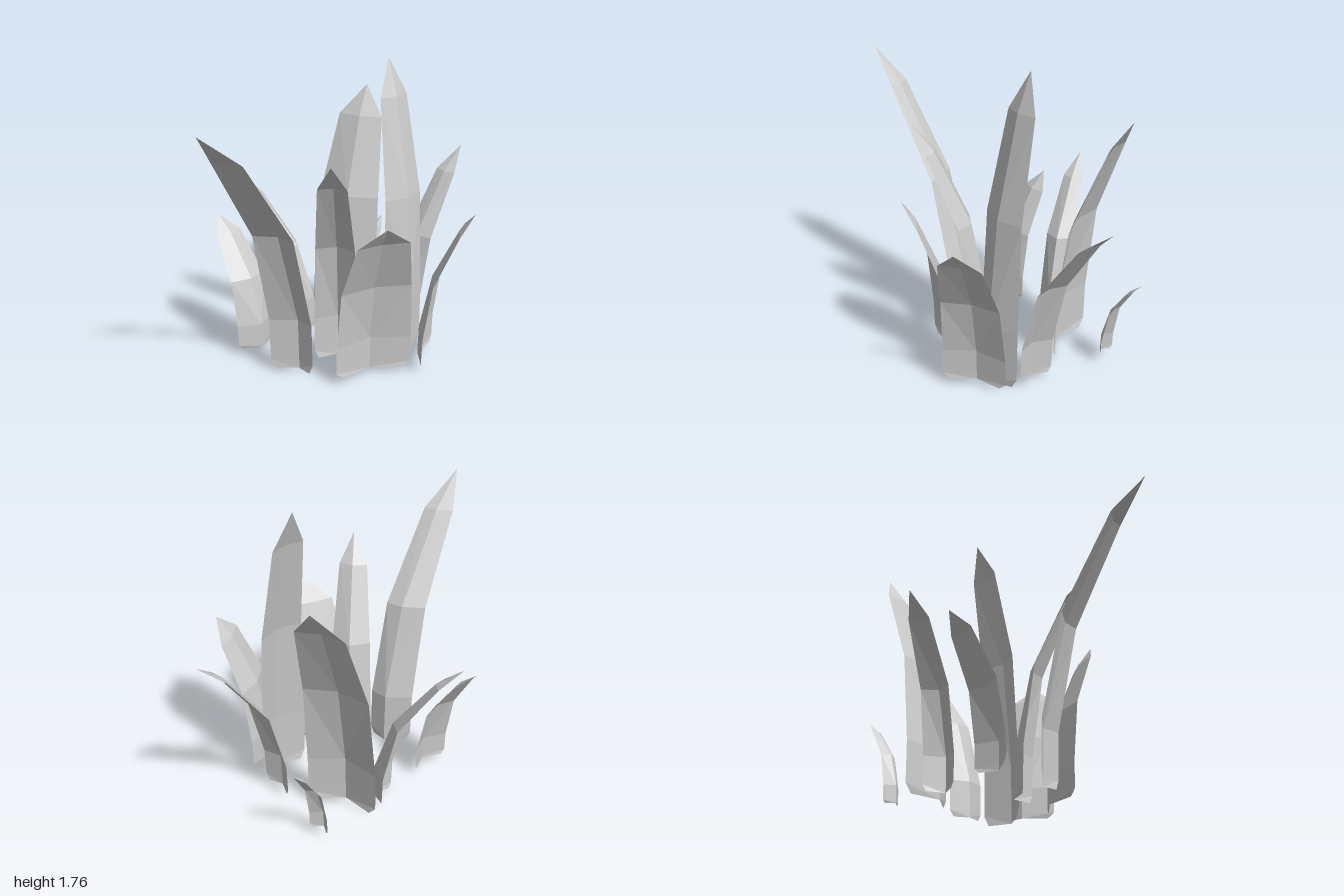
import * as THREE from 'three';

// Cross-sections up a blade: height fraction, lean fraction, width, fold depth
const SECTIONS = [
  [0.0, 0.0, 0.8, 0.9],
  [0.035, 0.0, 1.0, 1.0],
  [0.2, 0.01, 1.0, 1.0],
  [0.56, 0.23, 0.92, 0.6],
  [0.88, 0.7, 0.67, 0.35],
];

// Each blade: base left edge, ridge and right edge as [x, z], base height, tip [x, y, z]
const BLADES = [
  ['leftLongBlade', [-0.37, -0.13], [-0.27, 0.0], [-0.28, 0.11], 0.02, [-1.0, 1.6, 0.03]],
  ['leftInnerBlade', [-0.13, 0.0], [0.0, 0.07], [-0.01, 0.21], 0.02, [-0.36, 1.34, 0.31]],
  ['frontLeftBlade', [-0.26, 0.27], [-0.03, 0.33], [0.13, 0.5], 0.04, [-0.19, 1.01, 0.55]],
  ['frontRightBlade', [0.14, 0.57], [0.28, 0.45], [0.47, 0.42], 0.04, [0.4, 0.96, 0.72]],
  ['tallBlade', [0.16, 0.29], [0.3, 0.38], [0.47, 0.33], 0.0, [0.36, 1.76, 0.13]],
  ['rightBlade', [0.52, 0.1], [0.46, 0.2], [0.48, 0.31], 0.03, [1.0, 1.11, 0.235]],
  ['broadBlade', [0.34, -0.4], [0.32, -0.17], [0.45, 0.0], 0.03, [0.71, 1.47, -0.28]],
  ['smallBlade', [0.64, -0.3], [0.6, -0.24], [0.65, -0.18], 0.05, [0.85, 0.57, -0.25]],
  ['backBlade', [0.07, -0.31], [0.18, -0.26], [0.24, -0.37], 0.02, [0.01, 0.98, -0.72]],
  ['backShortBlade', [-0.37, -0.39], [-0.25, -0.31], [-0.12, -0.35], 0.04, [-0.23, 0.8, -0.66]],
];

// Folded sheet: three points per section (left, ridge, right), closed by a pointed tip
function bladeGeometry(left, ridge, right, y0, tip) {
  const half = [0, 1].map((i) => (right[i] - left[i]) / 2);
  const fold = [0, 1].map((i) => (right[i] + left[i]) / 2 - ridge[i]);
  const lean = [tip[0] - ridge[0], tip[2] - ridge[1]];
  const positions = [];
  const index = [];
  for (const [h, l, w, f] of SECTIONS) {
    for (const side of [-1, 0, 1]) {
      const back = side === 0 ? 0 : f;
      const [x, z] = [0, 1].map((i) => ridge[i] + lean[i] * l + half[i] * w * side + fold[i] * back);
      positions.push(x, y0 + (tip[1] - y0) * h, z);
    }
  }
  positions.push(...tip);
  const last = SECTIONS.length - 1;
  for (let r = 0; r < last; r++) {
    const a = r * 3;
    // Diagonals mirror each other about the ridge
    index.push(a, a + 1, a + 3, a + 1, a + 4, a + 3);
    index.push(a + 1, a + 2, a + 5, a + 1, a + 5, a + 4);
  }
  const t = last * 3;
  index.push(t, t + 1, t + 3, t + 1, t + 2, t + 3);

  const geometry = new THREE.BufferGeometry();
  geometry.setAttribute('position', new THREE.Float32BufferAttribute(positions, 3));
  geometry.setIndex(index);
  const flat = geometry.toNonIndexed();
  flat.computeVertexNormals();
  return flat;
}

export function createModel() {
  const group = new THREE.Group();
  group.name = 'grassTuft';
  const grey = new THREE.MeshStandardMaterial({ color: 0xcccccc, side: THREE.DoubleSide, flatShading: true });
  grey.name = 'light grey';
  for (const [name, ...shape] of BLADES) {
    const blade = new THREE.Mesh(bladeGeometry(...shape), grey);
    blade.name = name;
    group.add(blade);
  }
  return group;
}
